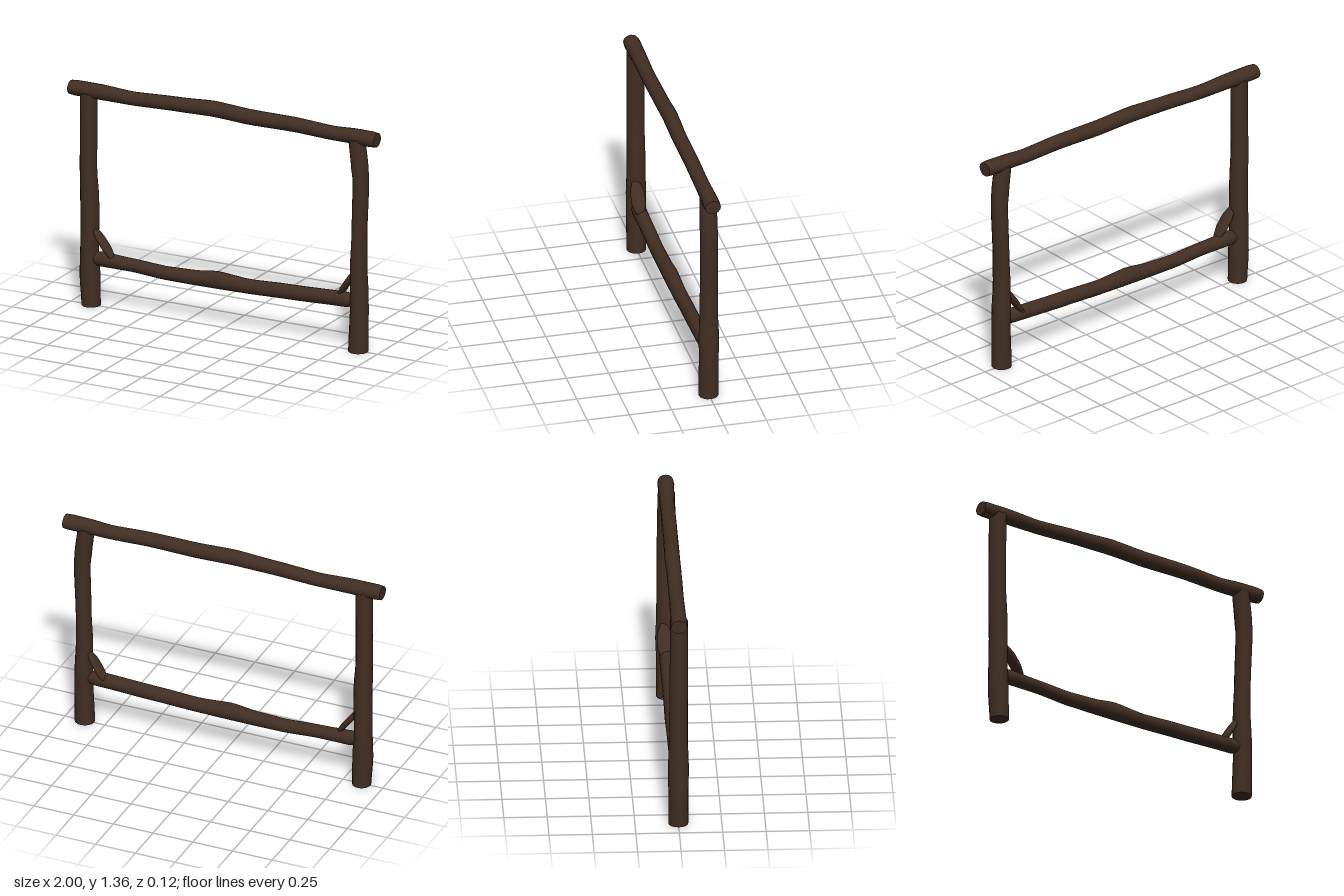
import * as THREE from 'three';

const SIDES = 16;

// Log swept along 'x' or 'y'. Stations: [distance, low edge, high edge, z centre, z half-width]
function logGeometry(axis, stations, rows = 28) {
  const start = stations[0][0], span = stations[stations.length - 1][0] - start;
  const at = (s) => {
    let i = 0;
    while (i < stations.length - 2 && s > stations[i + 1][0]) i++;
    const a = stations[i], b = stations[i + 1];
    const t = THREE.MathUtils.clamp((s - a[0]) / (b[0] - a[0]), 0, 1);
    const e = THREE.MathUtils.lerp(t, t * t * (3 - 2 * t), 0.5);
    return a.map((v, k) => THREE.MathUtils.lerp(v, b[k], e));
  };
  const geo = new THREE.CylinderGeometry(1, 1, 1, SIDES, rows);
  const p = geo.attributes.position;
  for (let i = 0; i < p.count; i++) {
    const s = start + (p.getY(i) + 0.5) * span;
    const [, low, high, zc, zr] = at(s);
    const mid = (low + high) / 2, r = (high - low) / 2;
    const z = zc + p.getZ(i) * zr;
    if (axis === 'y') p.setXYZ(i, mid + p.getX(i) * r, s, z);
    else p.setXYZ(i, s, mid - p.getX(i) * r, z);
  }
  geo.computeVertexNormals();
  // Blend the normals across the side seam
  const n = geo.attributes.normal;
  for (let row = 0; row <= rows; row++) {
    const i = row * (SIDES + 1), j = i + SIDES;
    const v = new THREE.Vector3().fromBufferAttribute(n, i)
      .add(new THREE.Vector3().fromBufferAttribute(n, j)).normalize();
    n.setXYZ(i, v.x, v.y, v.z);
    n.setXYZ(j, v.x, v.y, v.z);
  }
  return geo;
}

export function createModel() {
  const group = new THREE.Group();
  group.name = 'logFrame';
  const bark = new THREE.MeshStandardMaterial({ color: 0x412e23 });
  bark.name = 'darkBark';

  const add = (name, axis, stations, rows) => {
    const mesh = new THREE.Mesh(logGeometry(axis, stations, rows), bark);
    mesh.name = name;
    group.add(mesh);
    return mesh;
  };

  // Top rail
  add('topRail', 'x', [
    [-1, 1.262, 1.343, 0, 0.046], [-0.97, 1.258, 1.347, 0, 0.049],
    [-0.82, 1.257, 1.348, 0, 0.045], [-0.6, 1.257, 1.337, 0, 0.043],
    [-0.3, 1.267, 1.352, 0, 0.043], [-0.07, 1.272, 1.365, -0.003, 0.045],
    [0.18, 1.262, 1.353, 0, 0.043], [0.45, 1.266, 1.353, 0, 0.043],
    [0.72, 1.257, 1.34, 0, 0.043], [0.86, 1.258, 1.348, 0.002, 0.046],
    [0.98, 1.256, 1.348, 0.004, 0.049], [1, 1.26, 1.344, 0.004, 0.046],
  ], 50);

  // Bottom rail
  add('bottomRail', 'x', [
    [-0.845, 0.255, 0.325, 0, 0.035], [-0.82, 0.245, 0.333, 0, 0.043],
    [-0.6, 0.245, 0.322, 0, 0.041], [-0.38, 0.231, 0.311, 0, 0.041],
    [-0.2, 0.23, 0.317, 0, 0.042], [-0.05, 0.231, 0.335, 0, 0.045],
    [0.16, 0.234, 0.32, 0, 0.042], [0.4, 0.242, 0.331, 0, 0.042],
    [0.81, 0.257, 0.345, 0, 0.043], [0.845, 0.267, 0.335, 0, 0.034],
  ], 40);

  // Posts
  add('rightPost', 'y', [
    [0, -0.923, -0.812, 0, 0.057], [0.18, -0.936, -0.814, 0, 0.058],
    [0.36, -0.93, -0.826, 0, 0.06], [0.52, -0.93, -0.82, 0, 0.055],
    [0.65, -0.932, -0.822, 0, 0.054], [0.82, -0.934, -0.834, 0.002, 0.053],
    [1.29, -0.932, -0.832, 0.003, 0.052],
  ]);
  add('leftPost', 'y', [
    [0, 0.817, 0.935, 0.002, 0.058], [0.27, 0.829, 0.936, 0.001, 0.058],
    [0.36, 0.829, 0.933, 0, 0.061], [0.52, 0.828, 0.926, 0, 0.055],
    [0.7, 0.838, 0.926, 0, 0.054], [1.04, 0.846, 0.94, 0.002, 0.053],
    [1.12, 0.836, 0.936, 0.003, 0.053], [1.29, 0.818, 0.918, 0.003, 0.05],
  ]);

  // Short flattened corner braces
  for (const [name, x, y, angle, zc] of [
    ['rightBrace', -0.782, 0.393, 0.64, 0.012],
    ['leftBrace', 0.793, 0.393, -0.56, -0.012],
  ]) {
    const brace = add(name, 'y', [
      [-0.1, -0.014, 0.014, zc, 0.026], [-0.04, -0.018, 0.018, zc, 0.042],
      [0.03, -0.017, 0.017, zc, 0.042], [0.1, -0.013, 0.013, zc, 0.02],
    ], 10);
    brace.position.set(x, y, 0);
    brace.rotation.z = angle;
  }
  return group;
}
